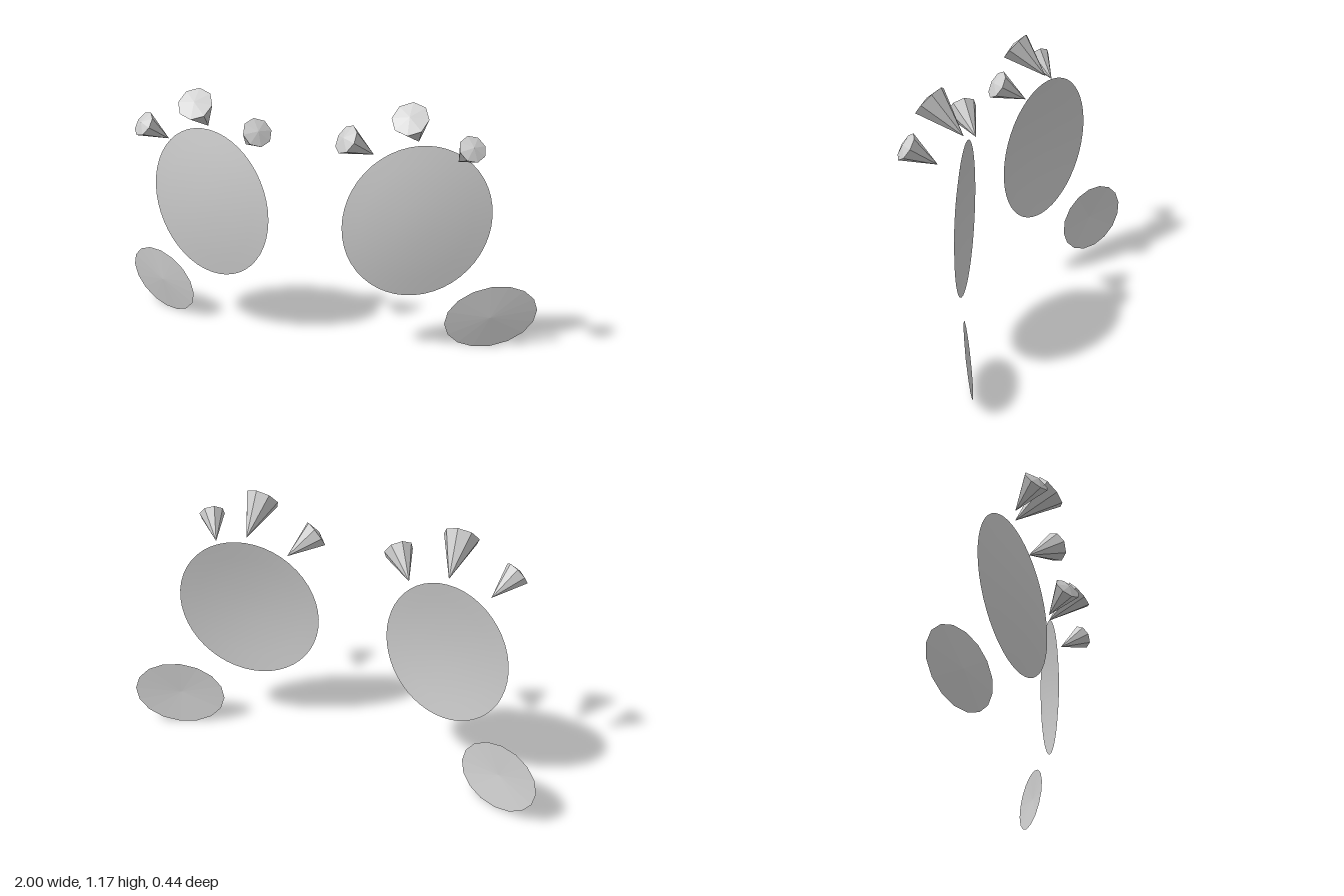
import * as THREE from 'three';
import { mergeVertices } from 'three/addons/utils/BufferGeometryUtils.js';

const smooth = new THREE.MeshStandardMaterial({ color: 0xcccccc, side: THREE.DoubleSide });
const faceted = new THREE.MeshStandardMaterial({ color: 0xcccccc, side: THREE.DoubleSide, flatShading: true });

// Shallow elliptical dish: centre c, half axes a and b, bulging forward by lift
function dish(name, side, { c, a, b, lift, segments, rings, material }) {
  let geo = new THREE.RingGeometry(0, 1, segments, rings);
  const pos = geo.attributes.position;
  for (let i = 0; i < pos.count; i++) {
    const u = pos.getX(i), v = pos.getY(i), m = u * side;
    pos.setXYZ(i,
      side * (c[0] + a[0] * m + b[0] * v),
      c[1] + a[1] * m + b[1] * v,
      c[2] + a[2] * m + b[2] * v + lift * (1 - u * u - v * v));
  }
  geo.deleteAttribute('uv');
  geo.deleteAttribute('normal');
  geo = mergeVertices(geo);
  geo.computeVertexNormals();
  const mesh = new THREE.Mesh(geo, material);
  mesh.name = name;
  return mesh;
}

// Eight-sided cone from its tip to a wide end closed by a low point
function lash(name, side, { tip, end, radius }) {
  const from = new THREE.Vector3(side * tip[0], tip[1], tip[2]);
  const axis = new THREE.Vector3(side * end[0], end[1], end[2]).sub(from);
  const length = axis.length();
  const profile = [[0, 0], [radius, length], [0, length + 0.016]].map(p => new THREE.Vector2(...p));
  const mesh = new THREE.Mesh(new THREE.LatheGeometry(profile, 8), faceted);
  mesh.position.copy(from);
  mesh.quaternion.setFromUnitVectors(new THREE.Vector3(0, 1, 0), axis.normalize());
  mesh.name = name;
  return mesh;
}

const eye = {
  c: [0.485, 0.615, 0.01], a: [0.315, 0.03, -0.09], b: [0, 0.3385, -0.0095],
  lift: 0.03, segments: 48, rings: 4, material: smooth,
};
const cheek = {
  c: [0.805, 0.152, -0.135], a: [0.195, 0.025, -0.085], b: [0, 0.15, 0.019],
  lift: 0.012, segments: 16, rings: 1, material: faceted,
};
const lashes = {
  innerLash: { tip: [0.295, 0.91, 0.04], end: [0.2, 0.995, 0.145], radius: 0.067 },
  middleLash: { tip: [0.485, 0.975, 0.012], end: [0.48, 1.107, 0.163], radius: 0.08 },
  outerLash: { tip: [0.665, 0.91, 0.045], end: [0.74, 0.995, 0.145], radius: 0.06 },
};

export function createModel() {
  const model = new THREE.Group();
  model.name = 'eyesAndCheeks';
  for (const side of [1, -1]) {
    const half = new THREE.Group();
    half.name = side > 0 ? 'leftSide' : 'rightSide';
    half.add(dish('eye', side, eye), dish('cheek', side, cheek));
    for (const [name, spec] of Object.entries(lashes)) half.add(lash(name, side, spec));
    model.add(half);
  }
  return model;
}
